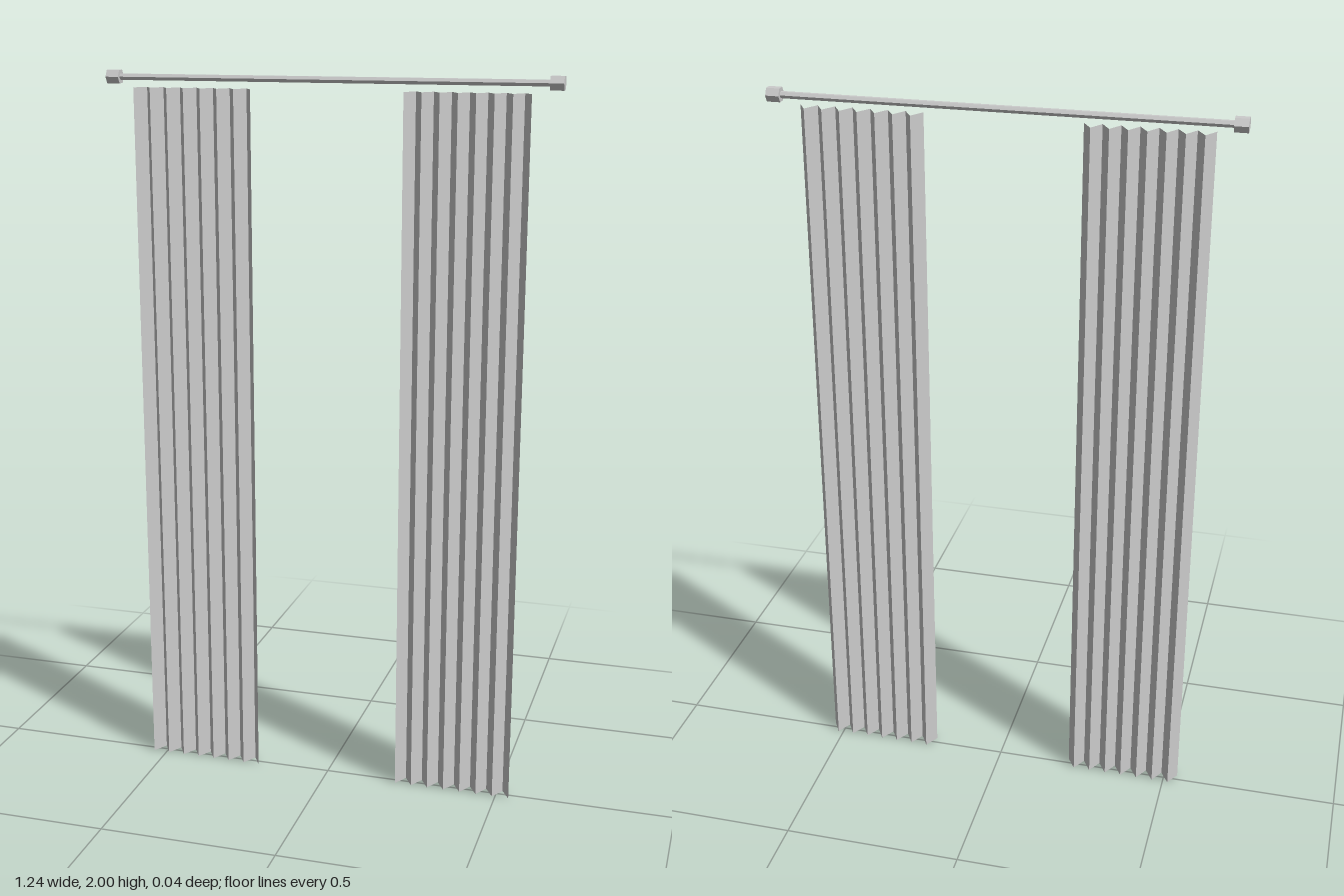
import * as THREE from 'three';

const ROD_Y = 1.982;

export function createModel() {
  const model = new THREE.Group();
  model.name = 'curtains';
  const metal = new THREE.MeshStandardMaterial({ color: 0xcccccc, flatShading: true });
  const cloth = new THREE.MeshStandardMaterial({ color: 0xcccccc, flatShading: true, side: THREE.DoubleSide });

  // Six-sided bar lying along x
  function addBar(name, radius, length, x) {
    const geometry = new THREE.CylinderGeometry(radius, radius, length, 6).rotateZ(Math.PI / 2);
    const bar = new THREE.Mesh(geometry, metal);
    bar.name = name;
    bar.position.set(x, ROD_Y, 0);
    model.add(bar);
  }

  // Hanging sheet folded into sharp zigzag pleats
  function addCurtain(name, x) {
    const width = 0.331, height = 1.955, depth = 0.02, pleats = 7;
    const geometry = new THREE.PlaneGeometry(width, height, pleats * 2, 1);
    const pos = geometry.attributes.position;
    for (let i = 0; i < pos.count; i++) {
      const column = i % (pleats * 2 + 1);
      pos.setZ(i, column % 2 === 0 ? depth : -depth);
    }
    geometry.computeVertexNormals();
    const curtain = new THREE.Mesh(geometry, cloth);
    curtain.name = name;
    curtain.position.set(x, height / 2, 0);
    model.add(curtain);
  }

  addBar('rod', 0.0095, 1.18, 0);
  for (const [side, s] of [['left', 1], ['right', -1]]) {
    addBar(side + 'RodEnd', 0.0205, 0.036, s * 0.6);
    addCurtain(side + 'Curtain', s * 0.373);
  }
  return model;
}
